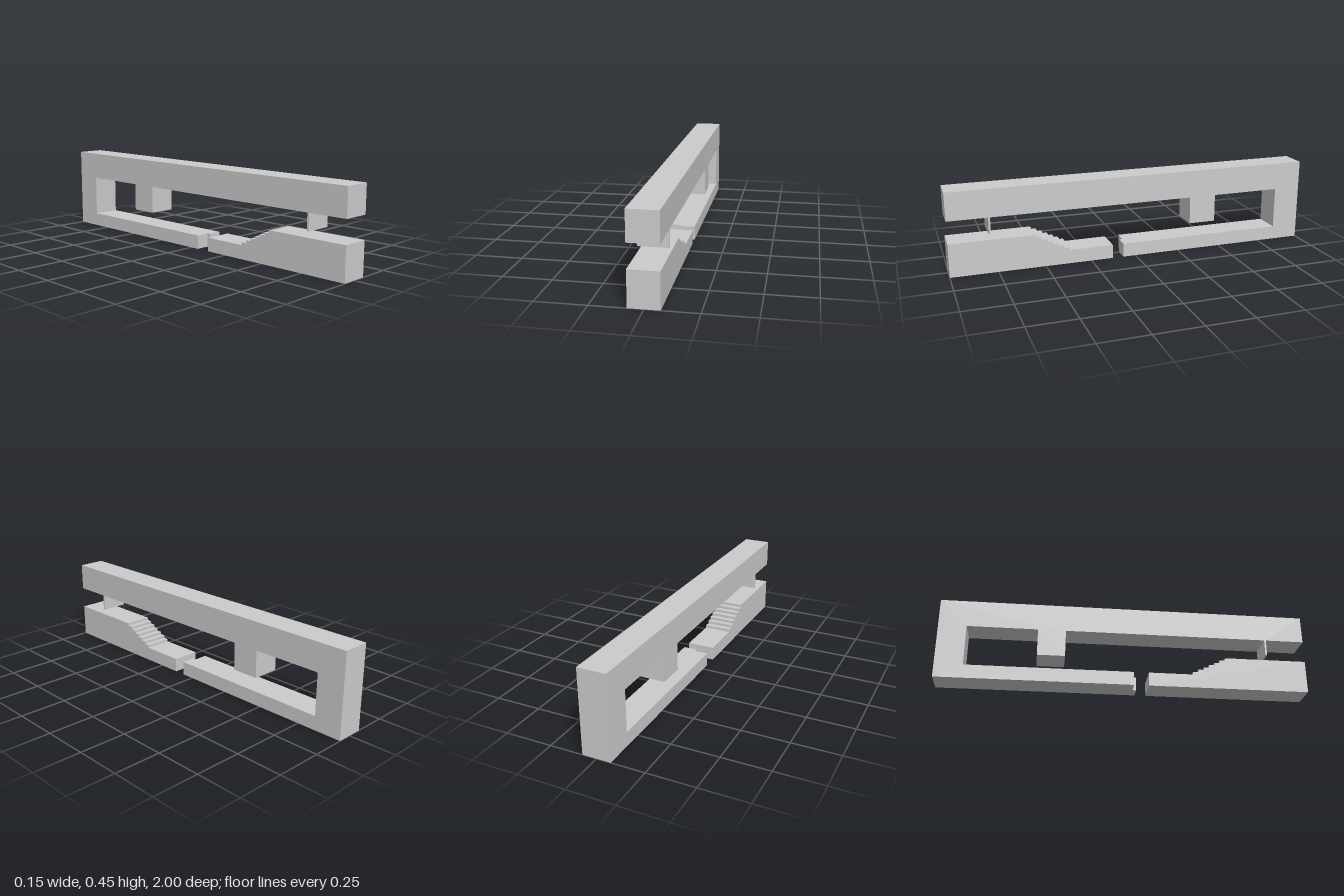
import * as THREE from 'three';

const WIDTH = 0.15;
const material = new THREE.MeshStandardMaterial({ color: 0xcccccc, flatShading: true });

// Extrudes a side outline of [z, y] points across the full width
function sidePart(name, points) {
  const shape = new THREE.Shape(points.map(([z, y]) => new THREE.Vector2(z, y)));
  const geometry = new THREE.ExtrudeGeometry(shape, { depth: WIDTH, bevelEnabled: false });
  geometry.translate(0, 0, -WIDTH / 2);
  geometry.rotateY(-Math.PI / 2);
  const mesh = new THREE.Mesh(geometry, material);
  mesh.name = name;
  return mesh;
}

export function createModel() {
  const group = new THREE.Group();
  group.name = 'steppedFrame';

  // Upper beam with hanging block and thin pin, rear column and lower rear bar
  group.add(sidePart('frame', [
    [0.05, 0], [0.05, 0.075], [-0.85, 0.075], [-0.85, 0.3],
    [-0.47, 0.3], [-0.47, 0.15], [-0.32, 0.15], [-0.32, 0.3],
    [0.78, 0.3], [0.78, 0.21], [0.79, 0.21], [0.79, 0.3],
    [1, 0.3], [1, 0.45], [-1, 0.45], [-1, 0],
  ]));

  // Half-width tongue at the front end of the lower rear bar
  const tongue = new THREE.Mesh(new THREE.BoxGeometry(WIDTH / 2, 0.075, 0.02), material);
  tongue.position.set(WIDTH / 4, 0.0375, 0.06);
  tongue.name = 'tongue';
  group.add(tongue);

  // Separate front base descending in seven small steps
  const base = [[0.13, 0], [1, 0], [1, 0.18]];
  for (let i = 0; i < 7; i++) {
    const z = 0.55 - i * 0.03;
    const y = 0.18 - i * 0.015;
    base.push([z, y], [z, y - 0.015]);
  }
  base.push([0.13, 0.075]);
  group.add(sidePart('steppedBase', base));

  return group;
}
